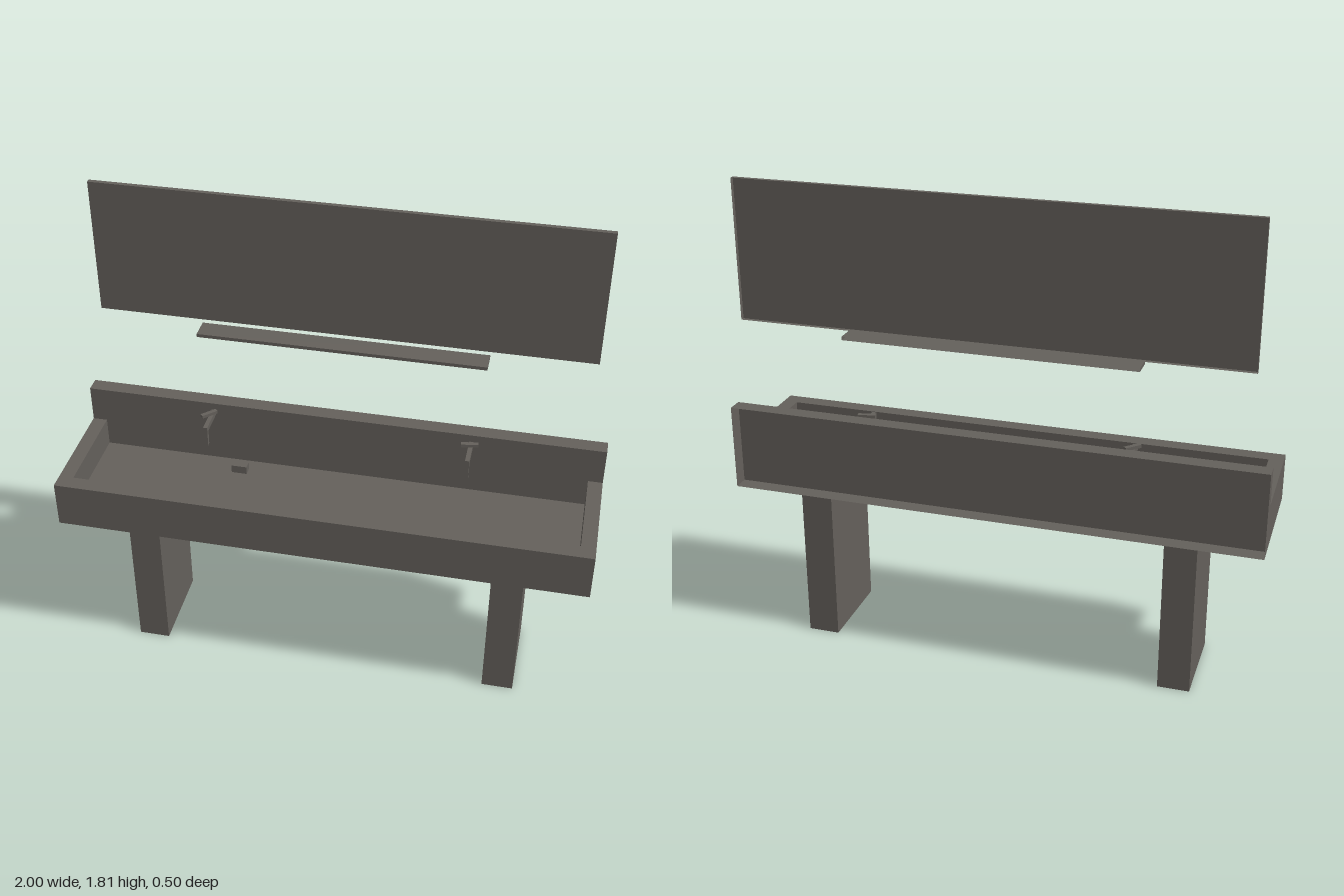
import * as THREE from 'three';

const stone = new THREE.MeshStandardMaterial({ color: 0x64605b, side: THREE.DoubleSide });
stone.name = 'warm grey';

// Face order of a box: +x, -x, +y, -y, +z, -z
const TOP = 2, BOTTOM = 3, FRONT = 4, BACK = 5;

// Box given by its extents; the listed faces are left open
function box(name, [x0, x1], [y0, y1], [z0, z1], open = []) {
  const geo = new THREE.BoxGeometry(x1 - x0, y1 - y0, z1 - z0);
  const index = Array.from(geo.index.array);
  geo.setIndex(index.filter((_, i) => !open.includes(Math.floor(i / 6))));
  geo.clearGroups();
  const mesh = new THREE.Mesh(geo, stone);
  mesh.name = name;
  mesh.position.set((x0 + x1) / 2, (y0 + y1) / 2, (z0 + z1) / 2);
  return mesh;
}

// Extrudes a shape drawn in (x, y) from z = 0 to the given depth
function extrude(name, shape, depth) {
  const geo = new THREE.ExtrudeGeometry(shape, { depth, bevelEnabled: false });
  const mesh = new THREE.Mesh(geo, stone);
  mesh.name = name;
  return mesh;
}

const polygon = (pts) => pts.map(([x, y]) => new THREE.Vector2(x, y));

// Trough: a U-shaped rim, open towards the splashback, over a floor slab
function createBasin() {
  const basin = new THREE.Group();
  basin.name = 'basin';
  const rimShape = new THREE.Shape(polygon([
    [-1, 0.19], [-1, -0.25], [1, -0.25], [1, 0.19],
    [0.945, 0.19], [0.945, -0.19], [-0.945, -0.19], [-0.945, 0.19],
  ]));
  const rim = extrude('basinRim', rimShape, 0.18);
  rim.rotation.x = -Math.PI / 2;
  rim.position.y = 0.62;
  basin.add(rim, box('basinFloor', [-0.945, 0.945], [0.62, 0.688], [-0.19, 0.19]));
  return basin;
}

// Wall tap: an L-shaped spout with a flat lever hovering above it
function createTap(x, leverX, leverZ, angle) {
  const tap = new THREE.Group();
  tap.name = 'tap';
  const spout = extrude('spout', new THREE.Shape(polygon([
    [-0.19, 0.893], [-0.19, 0.914], [-0.068, 0.914],
    [-0.068, 0.833], [-0.083, 0.833], [-0.083, 0.893],
  ])), 0.016);
  // Turn the side profile so that its x axis runs along z
  spout.rotation.y = -Math.PI / 2;
  spout.position.x = x + 0.008;
  const lever = box('lever', [-0.0325, 0.0325], [0.925, 0.937], [-0.008, 0.008]);
  lever.position.x = leverX;
  lever.position.z = leverZ;
  lever.rotation.y = angle;
  tap.add(spout, lever);
  return tap;
}

export function createModel() {
  const model = new THREE.Group();
  model.name = 'washTrough';

  model.add(createBasin());

  // Splashback shell, open on the wall side
  model.add(box('splashback', [-1, 1], [0.62, 0.943], [-0.25, -0.19], [BACK]));

  // Hollow legs, open underneath
  for (const s of [-1, 1]) {
    const leg = box('leg', [-0.06, 0.06], [0, 0.62], [-0.19, 0.153], [BOTTOM, TOP]);
    leg.position.x = s * 0.7;
    model.add(leg);
  }

  // Taps with differently turned levers
  model.add(createTap(-0.5, -0.503, -0.138, Math.PI / 4));
  model.add(createTap(0.5, 0.498, -0.147, 0.17));

  // Soap block lying in the trough
  model.add(box('soapBlock', [-0.415, -0.355], [0.688, 0.72], [-0.14, -0.105]));

  // Shelf and mirror, open on the wall side
  model.add(box('shelf', [-0.54, 0.54], [1.257, 1.27], [-0.245, -0.163], [BACK]));
  model.add(box('mirror', [-0.93, 0.93], [1.295, 1.815], [-0.245, -0.228], [BACK]));

  return model;
}
